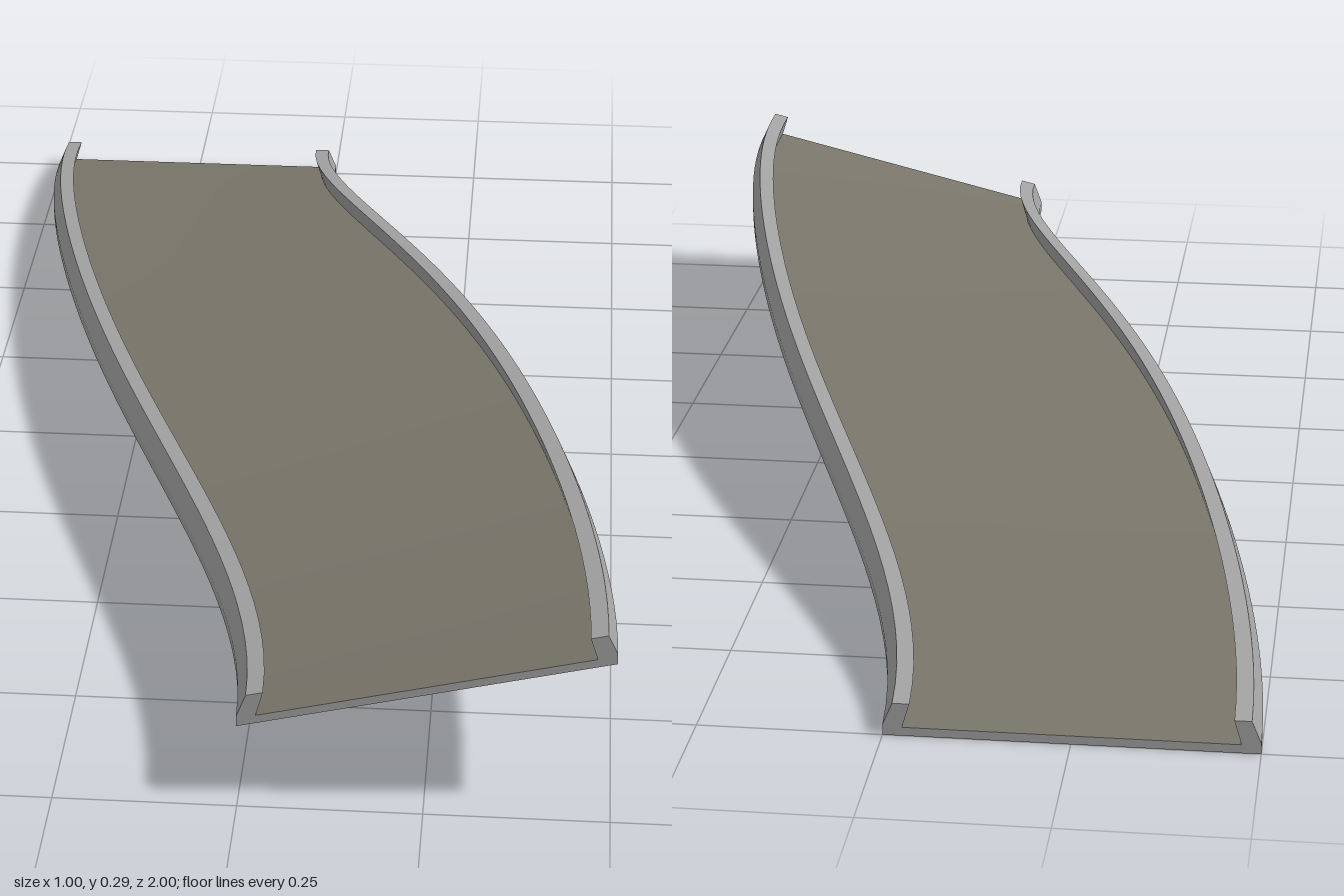
import * as THREE from 'three';

const STEPS = 48;
const concrete = new THREE.MeshStandardMaterial({ color: 0xa3a3a3 });
concrete.name = 'concrete grey';
const asphalt = new THREE.MeshStandardMaterial({ color: 0x79756a });
asphalt.name = 'asphalt';

// Sideways drift of an edge along the S-bend, u from 0 (back) to 1 (front)
const drift = (u) => u * u * (3 - 2 * u) - 3.6 * u ** 3 * (1 - u) ** 2;

// Point on the swept road: edge 0 (x-) or 1 (x+), inset along x, height above the underside
function roadPoint([edge, inset, height], u) {
  const x0 = -0.5 + 0.5 * drift(u);
  const x1 = 0.5 - 0.5 * drift(1 - u);
  const y1 = 0.25 * (2 * u - u * u); // climbing outer edge
  const y0 = y1 - 0.122 * u; // banking grows along the bend
  const f = edge + inset / (x1 - x0);
  return new THREE.Vector3(x0 + f * (x1 - x0), y0 + f * (y1 - y0) + height, 2 * u - 1);
}

// Kerb outline from the outer foot to the inner foot, with an overhanging inner face
const kerb = [[0, 0], [0, 0.015], [0.013, 0.046], [0.036, 0.046], [0.026, 0.012]];
const right = kerb.map(([o, h]) => [1, -o, h]);
const left = kerb.map(([o, h]) => [0, o, h]);
const outline = [...right, ...left.slice().reverse()];

// One smooth strip swept along the road between two outline points
function strip(a, b, name, material) {
  const pos = [];
  const index = [];
  const across = 4;
  for (let i = 0; i <= STEPS; i++) {
    const pa = roadPoint(a, i / STEPS);
    const pb = roadPoint(b, i / STEPS);
    for (let j = 0; j <= across; j++) pos.push(...pa.clone().lerp(pb, j / across).toArray());
  }
  const w = across + 1;
  for (let i = 0; i < STEPS; i++) {
    for (let j = 0; j < across; j++) {
      const k = i * w + j;
      index.push(k, k + 1, k + w + 1, k, k + w + 1, k + w);
    }
  }
  return toMesh(pos, index, name, material);
}

// Flat end face of the slab and kerbs
function endCap(u, name) {
  const points = outline.map((p) => roadPoint(p, u));
  const flat = points.map((p) => new THREE.Vector2(p.x, p.y));
  const faces = THREE.ShapeUtils.triangulateShape(flat, []);
  const index = faces.flatMap(([a, b, c]) => (u === 1 ? [a, b, c] : [a, c, b]));
  return toMesh(points.flatMap((p) => p.toArray()), index, name, concrete);
}

function toMesh(pos, index, name, material) {
  const geometry = new THREE.BufferGeometry();
  geometry.setAttribute('position', new THREE.Float32BufferAttribute(pos, 3));
  geometry.setIndex(index);
  geometry.computeVertexNormals();
  const mesh = new THREE.Mesh(geometry, material);
  mesh.name = name;
  return mesh;
}

export function createModel() {
  const group = new THREE.Group();
  group.name = 'bankedRoadBend';

  // Driving surface and underside
  group.add(strip(right[4], left[4], 'roadSurface', asphalt));
  group.add(strip(left[0], right[0], 'underside', concrete));

  // Kerbs on both edges
  const faces = ['OuterFoot', 'OuterSlope', 'Top', 'InnerFace'];
  faces.forEach((face, i) => {
    group.add(strip(right[i], right[i + 1], 'leftKerb' + face, concrete));
    group.add(strip(left[i + 1], left[i], 'rightKerb' + face, concrete));
  });

  // End faces
  group.add(endCap(0, 'backEnd'), endCap(1, 'frontEnd'));
  return group;
}
